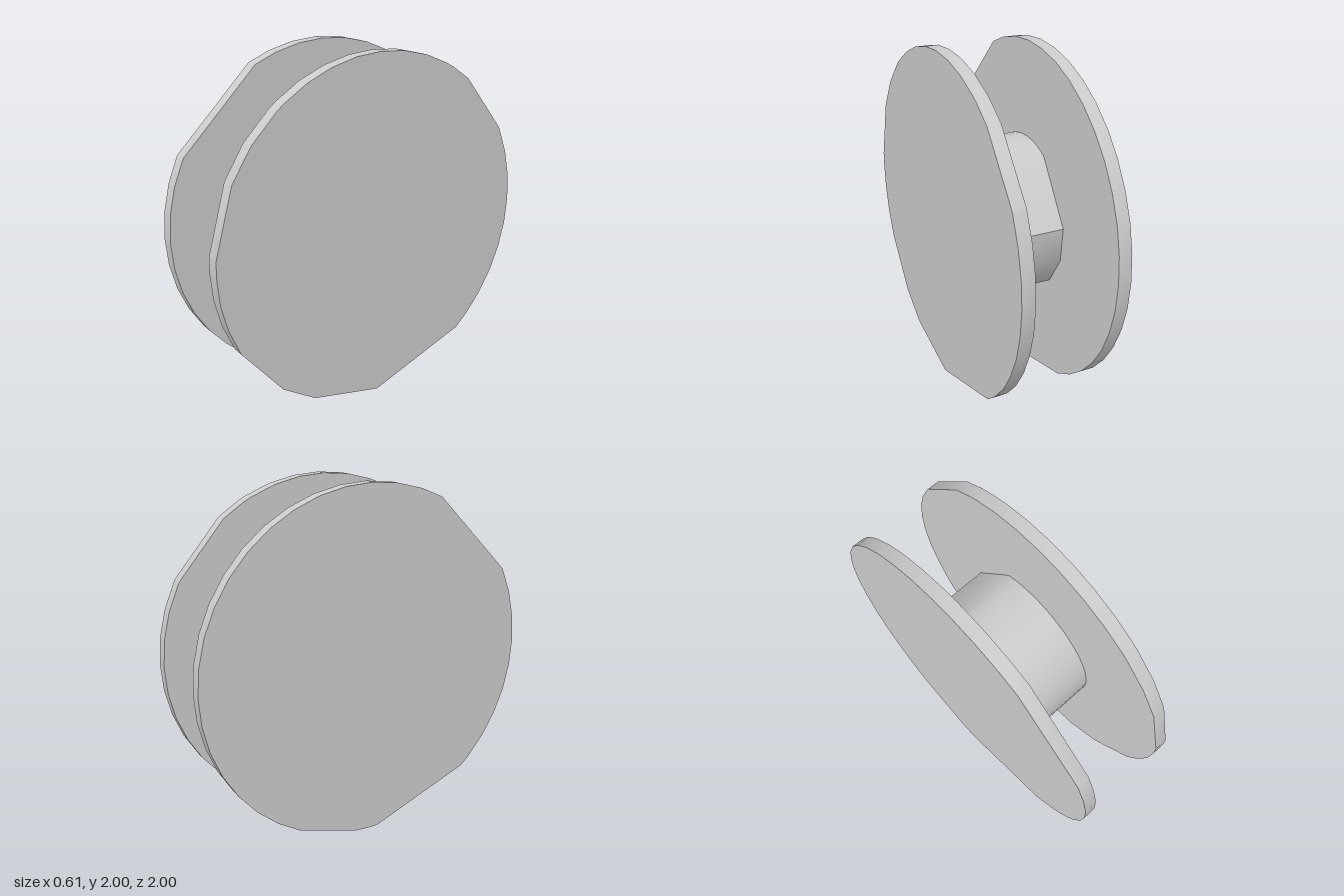
import * as THREE from 'three';
import { toCreasedNormals } from 'three/addons/utils/BufferGeometryUtils.js';

const material = new THREE.MeshStandardMaterial({ color: 0xcccccc });

// Disc lying across the x axis; flats are [from, to] angles in degrees, measured from +z towards +y,
// where the rim runs straight instead of round.
function disc(name, radius, width, x, flats) {
  const angles = new Set(flats.flat());
  for (let a = 0; a < 360; a += 9) {
    if (!flats.some(([from, to]) => a > from && a < to)) angles.add(a);
  }
  const outline = [...angles].sort((a, b) => a - b).map((a) => {
    const t = THREE.MathUtils.degToRad(a);
    return new THREE.Vector2(radius * Math.cos(t), radius * Math.sin(t));
  });
  const extruded = new THREE.ExtrudeGeometry(new THREE.Shape(outline), { depth: width, bevelEnabled: false });
  extruded.translate(0, 0, -width / 2).rotateY(-Math.PI / 2);
  const mesh = new THREE.Mesh(toCreasedNormals(extruded, 0.7), material);
  mesh.name = name;
  mesh.position.set(x, 1, 0);
  return mesh;
}

export function createModel() {
  const spool = new THREE.Group();
  spool.name = 'spool';

  // Two wide flanges with a few worn, straight stretches on their rims
  spool.add(disc('leftFlange', 1, 0.075, 0.2675,
    [[5, 27], [27, 39], [39, 51], [120, 128], [128, 152], [231.5, 270], [270, 296], [296, 310], [310, 332]]));
  spool.add(disc('rightFlange', 1, 0.075, -0.2675,
    [[27, 64], [243, 265], [273, 311]]));

  // Narrow hub joining the flanges
  spool.add(disc('hub', 0.455, 0.47, 0,
    [[117, 172], [172, 198], [198, 225], [225, 250]]));

  return spool;
}
